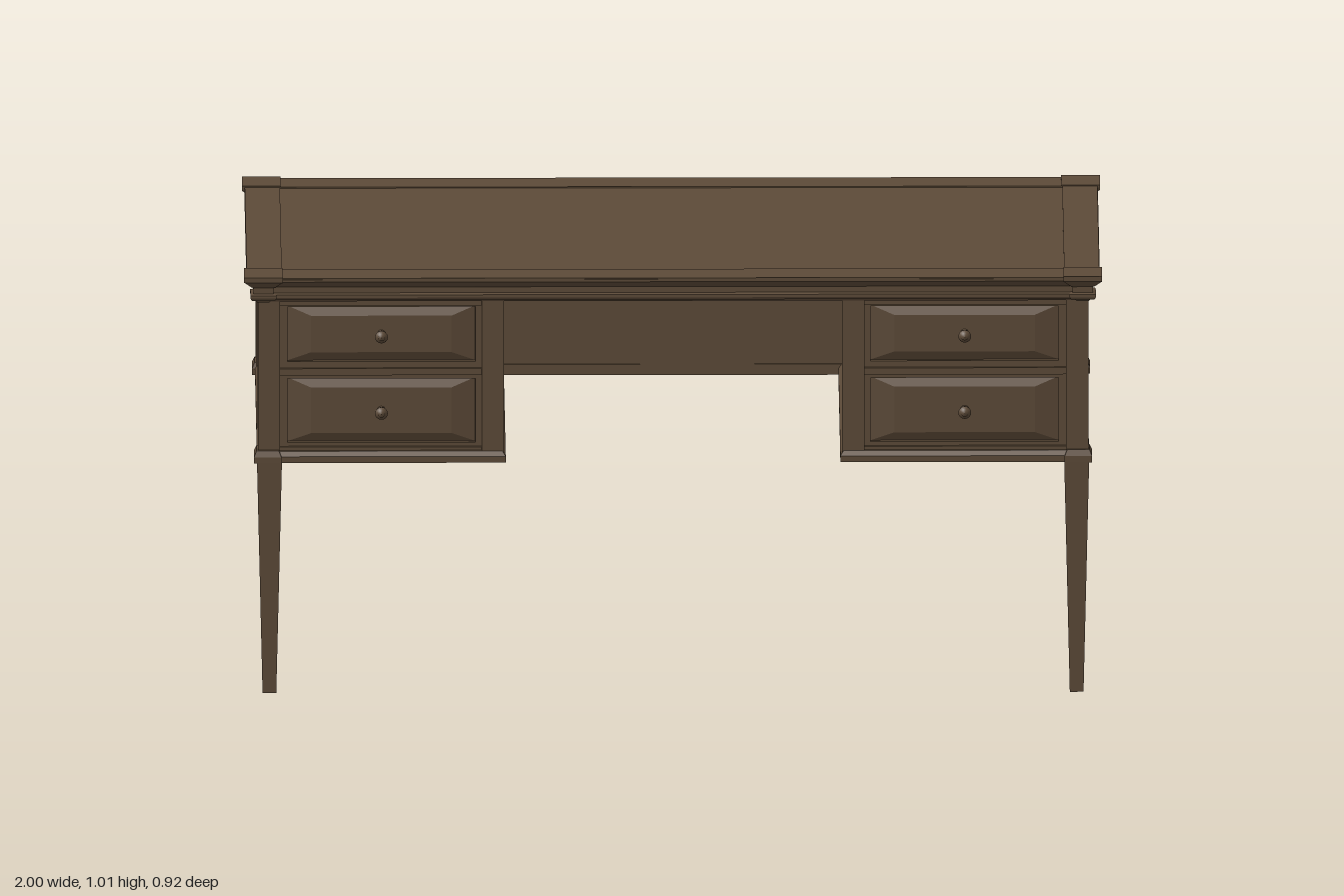
import * as THREE from 'three';

const wood = new THREE.MeshStandardMaterial({ color: 0x5c4a38 });

function add(parent, name, geometry, x, y, z) {
  const mesh = new THREE.Mesh(geometry, wood);
  mesh.name = name;
  mesh.position.set(x, y, z);
  parent.add(mesh);
  return mesh;
}

// Box given by its minimum and maximum on each axis
function span(parent, name, x0, x1, y0, y1, z0, z1) {
  return add(parent, name, new THREE.BoxGeometry(x1 - x0, y1 - y0, z1 - z0),
    (x0 + x1) / 2, (y0 + y1) / 2, (z0 + z1) / 2);
}

// Closed solid lofted through rectangles [halfWidth, halfDepth, y], bottom to top
function stack(sections) {
  const pos = [];
  const loops = sections.map(([w, d, y]) => [[-w, y, d], [w, y, d], [w, y, -d], [-w, y, -d]]);
  const quad = (a, b, c, d) => pos.push(...a, ...b, ...c, ...a, ...c, ...d);
  for (let i = 0; i + 1 < loops.length; i++) {
    for (let k = 0; k < 4; k++) {
      const n = (k + 1) % 4;
      quad(loops[i][k], loops[i][n], loops[i + 1][n], loops[i + 1][k]);
    }
  }
  quad(...loops[loops.length - 1]);
  quad(...[...loops[0]].reverse());
  const g = new THREE.BufferGeometry();
  g.setAttribute('position', new THREE.Float32BufferAttribute(pos, 3));
  g.computeVertexNormals();
  return g;
}

// Framed panel with a broadly bevelled raised field, facing +z
function framedPanel(name, w, h, frame, relief) {
  const group = new THREE.Group();
  group.name = name;
  const rect = (a, b) => [[-a, -b], [a, -b], [a, b], [-a, b]].map(([x, y]) => new THREE.Vector2(x, y));
  const iw = w / 2 - frame, ih = h / 2 - frame;
  const outline = new THREE.Shape(rect(w / 2, h / 2));
  outline.holes.push(new THREE.Path(rect(iw, ih)));
  add(group, 'panelFrame', new THREE.ExtrudeGeometry(outline,
    { depth: relief, bevelEnabled: false }), 0, 0, 0);
  const field = stack([[iw, ih, 0], [iw, ih, relief * 0.3], [iw - 0.055, ih - 0.022, relief * 0.9]]);
  add(group, 'panelField', field.rotateX(Math.PI / 2), 0, 0, 0);
  return group;
}

function place(parent, part, x, y, z, turn = 0) {
  part.position.set(x, y, z);
  part.rotation.y = turn;
  parent.add(part);
}

// Two panel rows shared by drawers, sides and back: [centre height, height]
const rows = [[0.861, 0.168], [0.677, 0.19]];

// Stepped cornice: [inset from the edge, y]
const cornice = [
  [0.034, 0.945], [0.030, 0.951], [0.020, 0.952], [0.016, 0.958], [0.016, 0.965],
  [0.024, 0.968], [0.024, 0.982], [0.018, 0.985], [0.003, 0.998], [0, 1.0],
];

function buildTop() {
  const top = new THREE.Group();
  top.name = 'desktop';
  add(top, 'corniceAndTop', stack([...cornice, [0, 1.006]]
    .map(([inset, y]) => [0.995 - inset, 0.457 - inset, y])), 0, 0, 0);
  // Border around the writing surface
  for (const s of [-1, 1]) {
    span(top, 'borderLong', -0.93, 0.93, 1.003, 1.009, s * 0.415 - 0.041, s * 0.415 + 0.041);
    span(top, 'borderShort', s * 0.953 - 0.041, s * 0.953 + 0.041, 1.003, 1.009, -0.374, 0.374);
  }
  // Corner blocks breaking out of the cornice
  for (const sx of [-1, 1]) for (const sz of [-1, 1]) {
    add(top, 'cornerBlock', stack([...cornice, [0, 1.012]]
      .map(([inset, y]) => [0.045 - inset * 0.9, 0.045 - inset * 0.9, y])), sx * 0.955, 0, sz * 0.417);
  }
  return top;
}

function buildKnob() {
  const profile = [[0.010, 0], [0.010, 0.006], [0.006, 0.010], [0.006, 0.021], [0.014, 0.023],
    [0.015, 0.030], [0.009, 0.032], [0.008, 0.036], [0, 0.038]].map(([r, y]) => new THREE.Vector2(r, y));
  const knob = new THREE.Mesh(new THREE.LatheGeometry(profile, 16), wood);
  knob.name = 'knob';
  knob.rotation.x = Math.PI / 2;
  return knob;
}

// Hollow pedestal on side s (+1 is +x)
function buildPedestal(s) {
  const ped = new THREE.Group();
  ped.name = s > 0 ? 'leftPedestal' : 'rightPedestal';
  const cx = s * 0.68;
  // Posts at both front corners and the outer back corner
  for (const [x, z] of [[0.42, 0.396], [0.942, 0.396], [0.942, -0.396]]) {
    span(ped, 'cornerPost', s * x - 0.026, s * x + 0.026, 0.57, 0.95, z - 0.026, z + 0.026);
  }
  // Front rails
  for (const y of [0.583, 0.772, 0.94]) {
    span(ped, 'frontRail', cx - 0.24, cx + 0.24, y - 0.008, y + 0.008, 0.38, 0.414);
  }
  // Drawers with knobs, and deeply recessed side panels
  for (const [y, h] of rows) {
    place(ped, framedPanel('drawer', 0.474, h, 0.018, 0.018), cx, y, 0.388);
    place(ped, buildKnob(), cx, y, 0.404);
    place(ped, framedPanel('outerPanel', 0.75, h, 0.014, 0.012), s * 0.915, y, 0, s * Math.PI / 2);
    place(ped, framedPanel('innerPanel', 0.75, h, 0.014, 0.012), s * 0.450, y, 0, -s * Math.PI / 2);
  }
  for (const x of [0.438, 0.927]) {
    span(ped, 'sideRail', s * x - 0.008, s * x + 0.008, 0.765, 0.78, -0.375, 0.375);
  }
  // Floor with base moulding
  add(ped, 'base', stack([[0.29, 0.43, 0.557], [0.29, 0.43, 0.572], [0.282, 0.422, 0.583]]), cx, 0, 0);
  // Tapered square legs under the outer corners
  for (const z of [-1, 1]) {
    add(ped, 'leg', stack([[0.016, 0.016, 0], [0.029, 0.031, 0.557]]), s * 0.941, 0, z * 0.405);
    add(ped, 'legCap', stack([[0.032, 0.032, 0.557], [0.032, 0.032, 0.572], [0.026, 0.026, 0.586]]),
      s * 0.945, 0, z * 0.403);
  }
  return ped;
}

// Full-width back with two bays of recessed panels
function buildBack() {
  const back = new THREE.Group();
  back.name = 'backPanel';
  for (const s of [-1, 1]) {
    for (const [y, h] of rows) {
      place(back, framedPanel('rearPanel', 0.918, h, 0.014, 0.012), s * 0.459, y, -0.368, Math.PI);
    }
  }
  span(back, 'centreStile', -0.018, 0.018, 0.57, 0.95, -0.422, -0.368);
  span(back, 'midRail', -0.92, 0.92, 0.765, 0.780, -0.388, -0.368);
  span(back, 'bottomRail', -0.40, 0.40, 0.557, 0.583, -0.43, -0.365);
  return back;
}

export function createModel() {
  const desk = new THREE.Group();
  desk.name = 'desk';
  desk.add(buildTop(), buildPedestal(1), buildPedestal(-1), buildBack());
  return desk;
}
